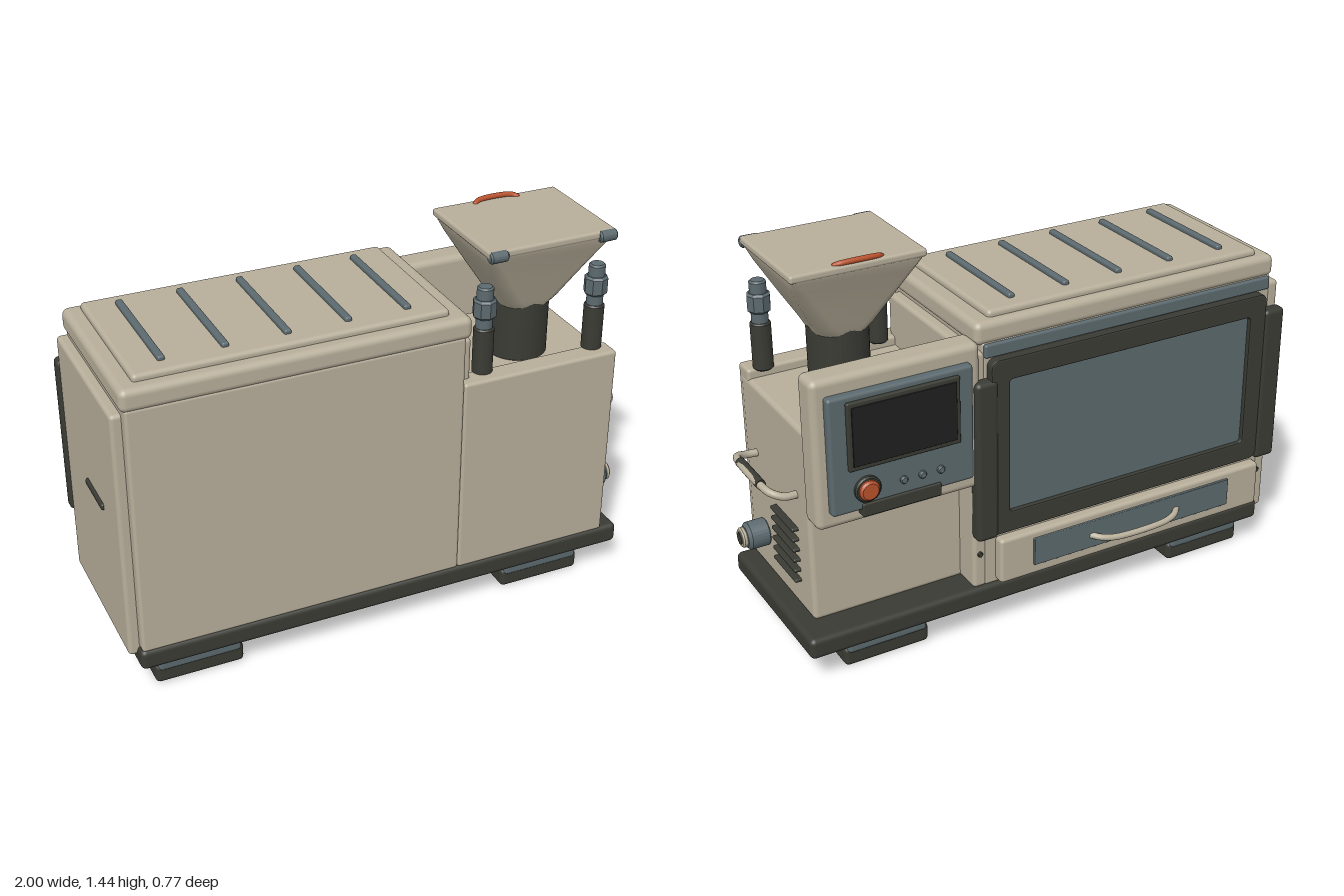
import * as THREE from 'three';
import { RoundedBoxGeometry } from 'three/addons/geometries/RoundedBoxGeometry.js';

const mat = (name, color) => {
  const m = new THREE.MeshStandardMaterial({ color });
  m.name = name;
  return m;
};

export function createModel() {
  const beige = mat('beige', 0xb8af9b);
  const dark = mat('charcoal', 0x3b3b35);
  const slate = mat('slate', 0x5c6a6f);
  const black = mat('screenBlack', 0x1f1f1f);
  const orange = mat('orange', 0xb9522c);
  const model = new THREE.Group();
  model.name = 'machine';

  const add = (name, geo, m, parent = model) => {
    const mesh = new THREE.Mesh(geo, m);
    mesh.name = name;
    parent.add(mesh);
    return mesh;
  };
  // Rounded box given by its extents on each axis
  const box = (name, m, [x0, x1], [y0, y1], [z0, z1], r = 0.015) => {
    const w = x1 - x0, h = y1 - y0, d = z1 - z0;
    const geo = new RoundedBoxGeometry(w, h, d, 3, Math.min(r, Math.min(w, h, d) * 0.48));
    const mesh = add(name, geo, m);
    mesh.position.set((x0 + x1) / 2, (y0 + y1) / 2, (z0 + z1) / 2);
    return mesh;
  };
  // Lathed part from [radius, offset] pairs, turned onto an axis
  const turned = (name, m, profile, pos, axis = 'y', sides = 28) => {
    const pts = profile.map(([r, t]) => new THREE.Vector2(r, t));
    const geo = new THREE.LatheGeometry(pts, sides);
    const flat = geo.toNonIndexed();
    flat.computeVertexNormals();
    const mesh = add(name, flat, m);
    if (axis === 'x') mesh.rotation.z = -Math.PI / 2;
    if (axis === '-z') mesh.rotation.x = -Math.PI / 2;
    mesh.position.set(...pos);
    return mesh;
  };
  const drum = (r, len, c = 0.006) => [[0, 0], [r - c, 0], [r, c], [r, len - c], [r - c, len], [0, len]];
  const tube = (name, m, pts, r) => {
    const curve = new THREE.CatmullRomCurve3(pts.map(p => new THREE.Vector3(...p)), false, 'centripetal');
    add(name, new THREE.TubeGeometry(curve, 40, r, 12), m);
    for (const p of [pts[0], pts[pts.length - 1]]) {
      add(name + 'End', new THREE.SphereGeometry(r, 12, 8), m).position.set(...p);
    }
  };

  // Feet and base
  for (const x of [-0.735, 0.645]) {
    box('foot', dark, [x - 0.165, x + 0.165], [0, 0.075], [-0.255, 0.34], 0.018);
    box('footSpacer', slate, [x - 0.155, x + 0.155], [0.055, 0.12], [-0.263, 0.348]);
  }
  box('base', dark, [-0.96, 0.955], [0.105, 0.185], [-0.3, 0.38], 0.02);

  // Main cabinet with side panels and lid
  box('cabinet', beige, [-0.952, 0.268], [0.18, 1.14], [-0.285, 0.375], 0.012);
  box('rightSidePanel', beige, [-0.99, -0.94], [0.15, 1.108], [-0.285, 0.335]);
  box('leftSidePanel', beige, [0.255, 0.31], [0.18, 1.108], [-0.285, 0.335]);
  box('sidePull', dark, [-1, -0.98], [0.655, 0.68], [-0.02, 0.17], 0.008);
  box('lidSeal', slate, [-0.94, 0.262], [1.085, 1.135], [-0.297, 0.3], 0.008);
  box('lid', beige, [-0.965, 0.292], [1.128, 1.212], [-0.285, 0.378], 0.025);
  box('lidTop', beige, [-0.905, 0.225], [1.2, 1.235], [-0.25, 0.33], 0.015);
  for (let i = 0; i < 5; i++) {
    const x = -0.785 + i * 0.22;
    box('lidRib', slate, [x - 0.013, x + 0.013], [1.225, 1.25], [-0.187, 0.268], 0.008);
  }

  // Window: frame, glass and corner bars
  const roundRect = (P, x0, x1, y0, y1, r) => {
    const s = new P();
    s.moveTo(x0 + r, y0);
    s.lineTo(x1 - r, y0).absarc(x1 - r, y0 + r, r, -Math.PI / 2, 0);
    s.lineTo(x1, y1 - r).absarc(x1 - r, y1 - r, r, 0, Math.PI / 2);
    s.lineTo(x0 + r, y1).absarc(x0 + r, y1 - r, r, Math.PI / 2, Math.PI);
    s.lineTo(x0, y0 + r).absarc(x0 + r, y0 + r, r, Math.PI, Math.PI * 1.5);
    return s;
  };
  const frame = roundRect(THREE.Shape, -0.91, 0.245, 0.405, 1.075, 0.025);
  frame.holes.push(roundRect(THREE.Path, -0.85, 0.185, 0.475, 1.005, 0.02));
  add('windowFrame', new THREE.ExtrudeGeometry(frame, {
    depth: 0.034, bevelThickness: 0.006, bevelSize: 0.006, bevelSegments: 2, curveSegments: 5,
  }), dark).position.z = -0.314;
  box('windowGlass', slate, [-0.86, 0.195], [0.465, 1.015], [-0.302, -0.28], 0.003);
  for (const [a, b] of [[-1, -0.91], [0.225, 0.312]]) {
    box('windowBar', dark, [a, b], [0.39, 1.01], [-0.326, -0.27], 0.018);
  }

  // Drawer
  box('drawer', beige, [-0.93, 0.22], [0.192, 0.372], [-0.325, -0.27], 0.014);
  box('drawerPlate', slate, [-0.78, 0.085], [0.235, 0.345], [-0.335, -0.32], 0.003);
  tube('drawerHandle', beige, [[-0.54, 0.285, -0.33], [-0.515, 0.282, -0.355], [-0.46, 0.275, -0.372],
    [-0.24, 0.275, -0.372], [-0.185, 0.282, -0.355], [-0.16, 0.285, -0.33]], 0.012);
  for (const x of [-0.95, 0.285]) turned('hingePin', dark, drum(0.01, 0.012, 0.002), [x, 0.32, -0.283], '-z', 12);

  // Grinder housing
  box('housing', beige, [0.29, 0.888], [0.18, 0.918], [-0.183, 0.36], 0.018);
  box('housingFront', beige, [0.267, 0.886], [0.18, 0.952], [0.29, 0.376], 0.012);
  for (let i = 0; i < 6; i++) {
    const y = 0.297 + i * 0.0412;
    box('ventSlot', dark, [0.88, 0.912], [y - 0.007, y + 0.007], [-0.087, 0.107], 0.006);
  }
  turned('spoutCollar', slate, drum(0.052, 0.09, 0.012), [0.88, 0.335, 0.225], 'x');
  turned('spoutRing', beige, drum(0.038, 0.022), [0.967, 0.335, 0.225], 'x');
  turned('spoutCore', dark, drum(0.027, 0.025), [0.967, 0.335, 0.225], 'x');

  // Side handle with grip
  tube('sideHandle', beige, [[0.885, 0.645, -0.09], [0.93, 0.648, -0.09], [0.97, 0.662, -0.068], [0.985, 0.67, -0.01],
    [0.985, 0.67, 0.175], [0.97, 0.662, 0.233], [0.93, 0.648, 0.255], [0.885, 0.645, 0.255]], 0.014);
  const grip = add('handleGrip', new THREE.CylinderGeometry(0.018, 0.018, 0.187, 20), dark);
  grip.rotation.x = Math.PI / 2;
  grip.position.set(0.982, 0.67, 0.0825);

  // Neck and posts
  turned('hopperNeck', dark, drum(0.11, 0.24, 0.01), [0.603, 0.91, 0.14], 'y', 40);
  for (const x of [0.374, 0.822]) {
    turned('post', dark, drum(0.037, 0.18), [x, 0.945, 0.3]);
    turned('postSleeve', slate, drum(0.03, 0.165), [x, 1.115, 0.3]);
    turned('postNut', slate, drum(0.043, 0.072, 0.008), [x, 1.163, 0.3], 'y', 8);
  }

  // Hopper: loft of rounded rectangles from [y, half width, half depth, corner]
  const sections = [[1.41, 0.245, 0.212, 0.02], [1.39, 0.24, 0.208, 0.025], [1.355, 0.226, 0.192, 0.035],
    [1.25, 0.168, 0.15, 0.05], [1.16, 0.115, 0.118, 0.06], [1.125, 0.1, 0.103, 0.08]];
  const verts = [], idx = [], n = 24;
  sections.forEach(([y, w, d, r], s) => {
    for (let c = 0; c < 4; c++) for (let k = 0; k < 6; k++) {
      const a = (c + k / 5) * Math.PI / 2;
      const sx = c === 0 || c === 3 ? 1 : -1, sz = c < 2 ? 1 : -1;
      verts.push(sx * (w - r) + r * Math.cos(a), y, sz * (d - r) + r * Math.sin(a));
    }
    if (s) for (let k = 0; k < n; k++) {
      const a = (s - 1) * n + k, b = (s - 1) * n + (k + 1) % n;
      idx.push(a, b, a + n, b, b + n, a + n);
    }
  });
  const loft = new THREE.BufferGeometry();
  loft.setAttribute('position', new THREE.Float32BufferAttribute(verts, 3));
  loft.setIndex(idx);
  loft.computeVertexNormals();
  add('hopper', loft, beige).position.set(0.605, 0, 0.14);
  box('hopperLid', beige, [0.355, 0.855], [1.398, 1.427], [-0.074, 0.354], 0.01);
  for (const x of [0.356, 0.786]) turned('hopperHinge', slate, drum(0.021, 0.069), [x, 1.406, 0.348], 'x', 16);
  tube('hopperTab', orange, [[0.515, 1.425, -0.048], [0.535, 1.432, -0.058], [0.665, 1.432, -0.058],
    [0.685, 1.425, -0.048]], 0.01);

  // Control panel
  box('controlHousing', beige, [0.283, 0.905], [0.605, 1.155], [-0.302, -0.193], 0.025);
  box('controlPlate', slate, [0.328, 0.862], [0.665, 1.097], [-0.332, -0.29], 0.012);
  box('screenBezel', dark, [0.385, 0.8], [0.825, 1.075], [-0.345, -0.325], 0.006);
  box('screen', black, [0.4, 0.785], [0.842, 1.058], [-0.349, -0.342], 0.002);
  box('controlLedge', dark, [0.46, 0.755], [0.64, 0.69], [-0.34, -0.295], 0.006);
  turned('knobCollar', dark, drum(0.048, 0.02, 0.005), [0.735, 0.745, -0.328], '-z');
  turned('knob', orange, drum(0.037, 0.035, 0.008), [0.735, 0.745, -0.328], '-z');
  for (const x of [0.6, 0.53, 0.46]) turned('button', slate, drum(0.014, 0.016, 0.004), [x, 0.74, -0.328], '-z', 16);

  return model;
}
